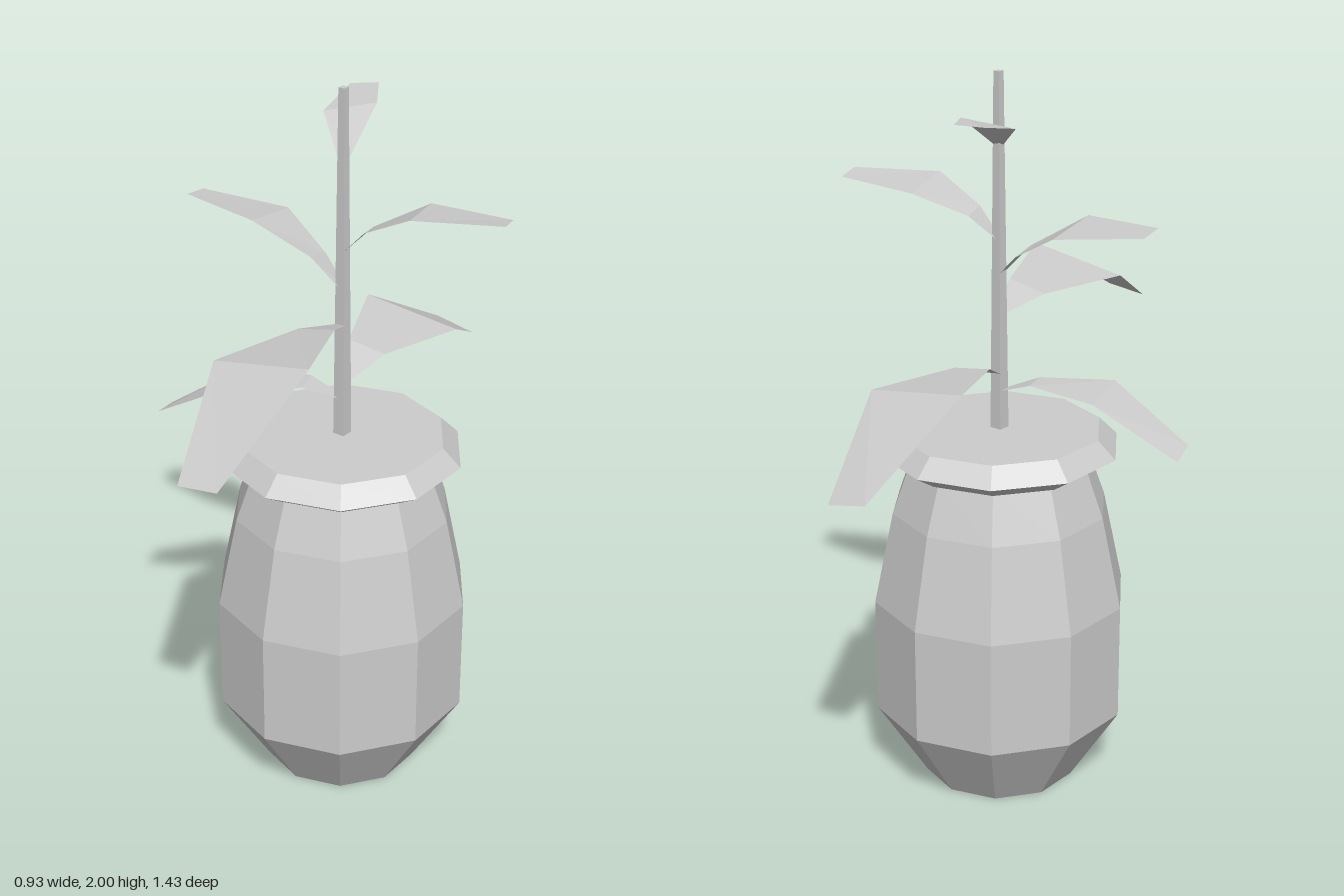
import * as THREE from 'three';

const CX = 0.035, CZ = -0.015; // pot and stem axis
const SIDES = 10;

const potMaterial = new THREE.MeshStandardMaterial({ color: 0xcccccc, flatShading: true });
const leafMaterial = new THREE.MeshStandardMaterial({ color: 0xcccccc, flatShading: true, side: THREE.DoubleSide });

function turned(name, profile) {
  const points = profile.map(([r, y]) => new THREE.Vector2(r, y));
  const mesh = new THREE.Mesh(new THREE.LatheGeometry(points, SIDES), potMaterial);
  mesh.name = name;
  mesh.position.set(CX, 0, CZ);
  return mesh;
}

// A leaf is a strip of cross-sections: narrow base, optional kink, wide middle, tip.
// mid and tip are pairs of corners; kink gives the corner heights part way to the middle.
function leaf({ name, baseY, kink, mid, tip }) {
  const [m0, m1] = mid.map((p) => new THREE.Vector3(...p));
  const across = m1.clone().sub(m0).setY(0).normalize().multiplyScalar(0.012);
  const center = new THREE.Vector3(CX, baseY, CZ);
  const b0 = center.clone().sub(across), b1 = center.clone().add(across);
  const rows = [[b0, b1]];
  if (kink) {
    rows.push([b0.clone().lerp(m0, 0.34).setY(kink[0]), b1.clone().lerp(m1, 0.34).setY(kink[1])]);
  }
  rows.push([m0, m1], tip.map((p) => new THREE.Vector3(...p)));

  const index = [];
  for (let i = 0; i < rows.length - 1; i++) {
    const a = i * 2;
    index.push(a, a + 1, a + 3, a, a + 3, a + 2);
  }
  let geometry = new THREE.BufferGeometry().setFromPoints(rows.flat());
  geometry.setIndex(index);
  geometry = geometry.toNonIndexed();
  geometry.computeVertexNormals();
  const mesh = new THREE.Mesh(geometry, leafMaterial);
  mesh.name = name;
  return mesh;
}

// Corners run so that the upper side of each leaf is its front
const LEAVES = [
  {
    name: 'lowerBackLeaf', baseY: 1.185, kink: [1.23, 1.247],
    mid: [[0.14, 1.225, -0.40], [-0.14, 1.265, -0.37]],
    tip: [[-0.01, 1.05, -0.72], [-0.125, 1.075, -0.71]],
  },
  {
    name: 'lowerFrontLeaf', baseY: 1.355, kink: [1.385, 1.41],
    mid: [[-0.06, 1.385, 0.395], [0.22, 1.435, 0.37]],
    tip: [[0.09, 1.225, 0.715], [0.205, 1.24, 0.705]],
  },
  {
    name: 'lowerRightLeaf', baseY: 1.14, kink: [1.175, 1.175],
    mid: [[-0.26, 1.16, 0.01], [-0.207, 1.17, 0.18]],
    tip: [[-0.465, 1.02, 0.11], [-0.44, 1.035, 0.195]],
  },
  {
    name: 'upperLeftLeaf', baseY: 1.56, kink: [1.635, 1.625],
    mid: [[0.25, 1.705, 0], [0.20, 1.685, -0.17]],
    tip: [[0.46, 1.705, -0.11], [0.44, 1.695, -0.18]],
  },
  {
    name: 'upperRightLeaf', baseY: 1.46, kink: [1.53, 1.545],
    mid: [[-0.19, 1.61, -0.075], [-0.17, 1.635, 0.10]],
    tip: [[-0.415, 1.635, 0.005], [-0.405, 1.645, 0.08]],
  },
  {
    name: 'topLeaf', baseY: 1.81,
    mid: [[0.015, 1.91, -0.185], [-0.10, 1.885, -0.11]],
    tip: [[-0.058, 1.92, -0.294], [-0.122, 1.915, -0.256]],
  },
];

export function createModel() {
  const model = new THREE.Group();
  model.name = 'pottedPlant';

  // Faceted jar with a flat base
  model.add(turned('pot', [
    [0, 0], [0.216, 0], [0.355, 0.22], [0.355, 0.55], [0.30, 0.81], [0.25, 0.95],
  ]));

  // Flared rim closed by a flat soil surface
  model.add(turned('rim', [
    [0.24, 0.945], [0.27, 0.945], [0.333, 0.985], [0.283, 1.035], [0, 1.035],
  ]));

  // Square tapering stem
  const stemGeometry = new THREE.CylinderGeometry(0.013, 0.025, 1, 4);
  stemGeometry.rotateY(Math.PI / 4);
  const stem = new THREE.Mesh(stemGeometry, potMaterial);
  stem.name = 'stem';
  stem.position.set(CX, 1.5, CZ);
  model.add(stem);

  // Leaves spiralling up the stem
  const leaves = new THREE.Group();
  leaves.name = 'leaves';
  LEAVES.forEach((spec) => leaves.add(leaf(spec)));
  model.add(leaves);

  return model;
}
